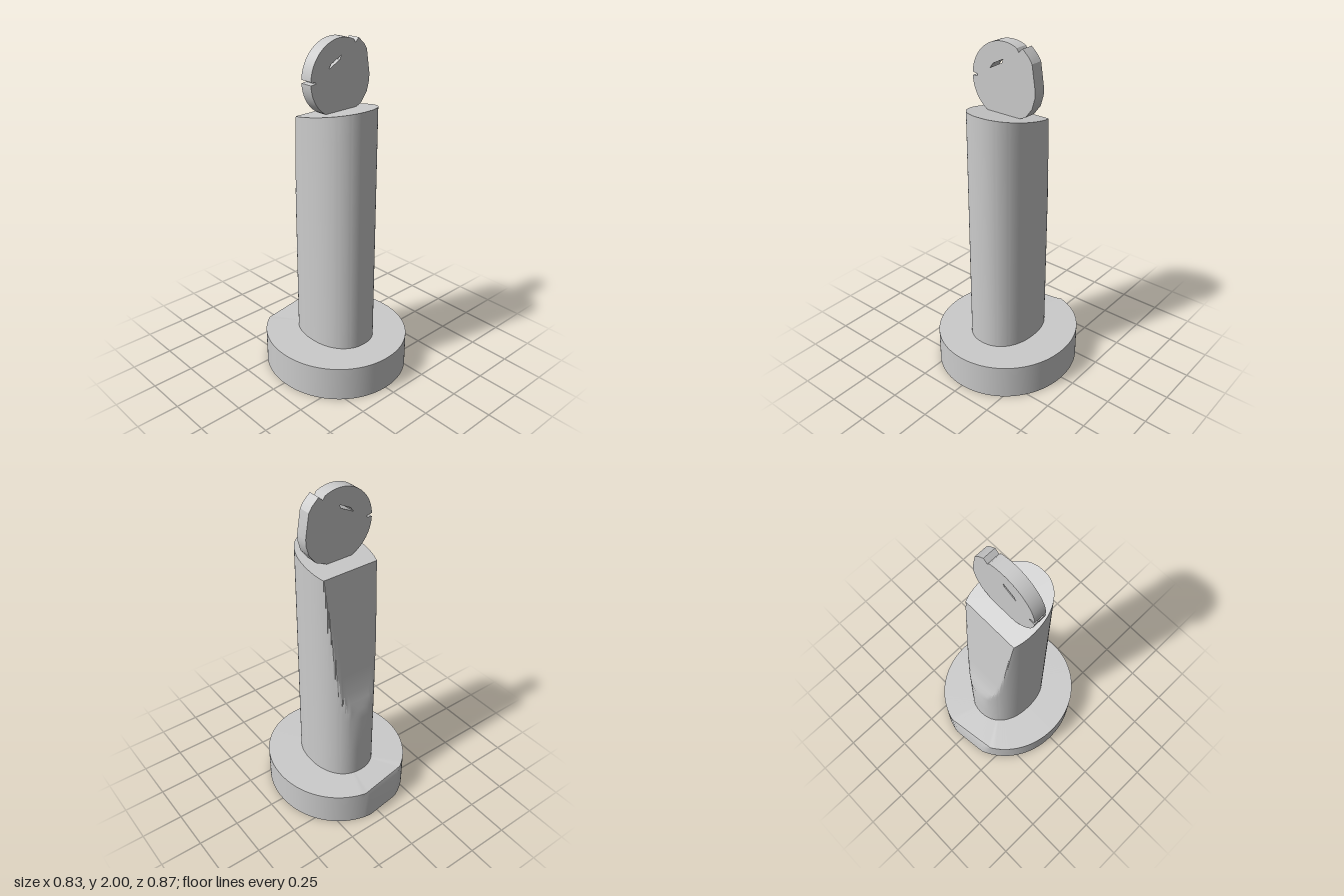
import * as THREE from 'three';
import { toCreasedNormals } from 'three/addons/utils/BufferGeometryUtils.js';

const SEG = 128;
const { lerp, clamp } = THREE.MathUtils;

// Slightly squared ellipse in the ground plane
function oval(t, rx, rz, n) {
  const c = Math.cos(t), s = Math.sin(t);
  return [
    rx * Math.sign(c) * Math.abs(c) ** (2 / n),
    rz * Math.sign(s) * Math.abs(s) ** (2 / n),
  ];
}

// Join closed rings, each given as a function of the angle
function loft(rings, crease) {
  const pos = [], idx = [];
  for (const ring of rings) {
    for (let j = 0; j < SEG; j++) pos.push(...ring((j / SEG) * Math.PI * 2));
  }
  for (let i = 0; i < rings.length - 1; i++) {
    for (let j = 0; j < SEG; j++) {
      const k = (j + 1) % SEG;
      const a = i * SEG + j, b = i * SEG + k, c = a + SEG, d = b + SEG;
      idx.push(a, c, b, b, c, d);
    }
  }
  const g = new THREE.BufferGeometry();
  g.setAttribute('position', new THREE.Float32BufferAttribute(pos, 3));
  g.setIndex(idx);
  return toCreasedNormals(g, crease);
}

// Outline of the column and of the matching bore through the base
function columnOutline(t) {
  const [x, z] = oval(t, 0.195, 0.25, 2.2);
  return [x, z - 0.003];
}

// How far back the column reaches at each height
function columnBack(y) {
  const profile = [[0, -0.26], [0.64, -0.255], [0.82, -0.21], [1.4, -0.148], [1.575, -0.13], [1.7, -0.118]];
  for (let i = 1; i < profile.length; i++) {
    const [y0, z0] = profile[i - 1], [y1, z1] = profile[i];
    if (y <= y1) return lerp(z0, z1, (y - y0) / (y1 - y0));
  }
  return -0.118;
}

const topY = (z) => 1.601 + 0.2 * z;

export function createModel() {
  const group = new THREE.Group();
  const mat = new THREE.MeshStandardMaterial({ color: 0xcccccc });
  const shellMat = new THREE.MeshStandardMaterial({ color: 0xcccccc, side: THREE.DoubleSide });
  const add = (name, geometry, material = mat) => {
    const mesh = new THREE.Mesh(geometry, material);
    mesh.name = name;
    group.add(mesh);
  };

  // Bored oval base with a slanted flat cut across its back
  const outer = (y, up) => (t) => {
    const [x, z] = oval(t, 0.416, 0.437, 2.05);
    const flat = lerp(-0.426, -0.409, up) - lerp(0.127, 0.157, up) * x;
    return [x, z < 0 ? Math.max(z, flat) : z, y - (z < flat ? 0.005 * up : 0)];
  };
  const baseRing = (y, up) => (t) => {
    const [x, z, h] = outer(y, up)(t);
    return [x, h, z];
  };
  const bore = (y) => (t) => {
    const [x, z] = columnOutline(t);
    return [x, y, z];
  };
  add('base', loft([
    baseRing(0, 0), baseRing(0.18, 0.5), baseRing(0.21, 1),
    bore(0.21), bore(0), baseRing(0, 0),
  ], 0.5));

  // Hollow column, cut away at the back, with a sloping top
  const levels = [0.21, 0.4, 0.64, 0.7, 0.76, 0.82, 0.95, 1.1, 1.25, 1.4, 1.5];
  const columnRing = (y) => (t) => {
    const [x, z] = columnOutline(t);
    return [x, y, Math.max(z, columnBack(y))];
  };
  const topRing = (t) => {
    const [x, z0] = columnOutline(t);
    const z = Math.max(z0, columnBack(1.575));
    return [x, topY(z), z];
  };
  const topCentre = () => [0, topY(0.05), 0.05];
  add('column', loft([...levels.map(columnRing), topRing, topCentre], 0.5), shellMat);

  // Upright disc, flattened on one side, with two rim nicks and a slit
  const R = 0.211, CY = 1.789;
  const disc = new THREE.Shape();
  const rim = (deg, r = R) => {
    const a = THREE.MathUtils.degToRad(deg);
    return [r * Math.cos(a), CY + r * Math.sin(a)];
  };
  const arc = (from, to) => {
    const n = Math.ceil((to - from) / 4);
    for (let i = 0; i <= n; i++) disc.lineTo(...rim(lerp(from, to, clamp(i / n, 0, 1))));
  };
  disc.moveTo(0.15, 1.625);
  disc.lineTo(0.192, 1.68);
  disc.lineTo(0.209, 1.74);
  disc.lineTo(0.21, 1.78);
  disc.lineTo(0.188, 1.915);
  disc.lineTo(0.168, 1.945);
  disc.lineTo(0.127, 1.983);
  disc.lineTo(0.102, 1.96);
  disc.lineTo(0.092, 1.976);
  arc(65, 177);
  disc.lineTo(-0.178, 1.795);
  disc.lineTo(-0.178, 1.785);
  arc(182, 300);
  disc.closePath();
  disc.holes.push(new THREE.Path([
    [-0.09, 1.845], [-0.07, 1.872], [0, 1.907], [-0.008, 1.886],
  ].map(([x, y]) => new THREE.Vector2(x, y))));
  const discGeo = new THREE.ExtrudeGeometry(disc, { depth: 0.075, bevelEnabled: false });
  discGeo.translate(0, 0, -0.032);
  add('topDisc', toCreasedNormals(discGeo, 0.4));

  return group;
}
